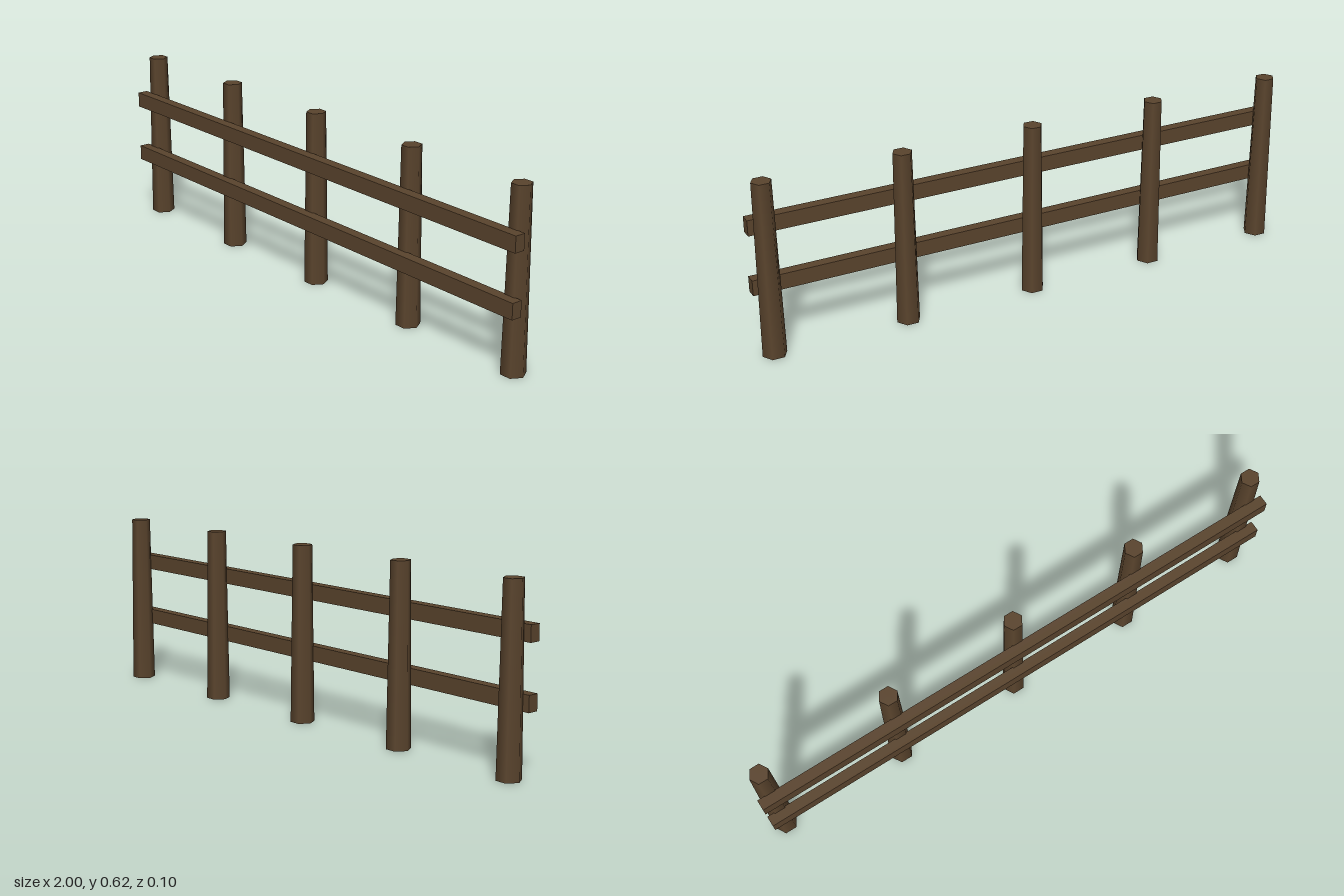
import * as THREE from 'three';

export function createModel() {
  const fence = new THREE.Group();
  fence.name = 'fence';
  const wood = new THREE.MeshStandardMaterial({ color: 0x5a442d });
  wood.name = 'dark brown wood';

  // Five tapered six-sided posts, corners pointing along the fence
  const postHeight = 0.62;
  const postGeometry = new THREE.CylinderGeometry(0.034, 0.042, postHeight, 6, 1, false, Math.PI / 6);
  for (let i = -2; i <= 2; i++) {
    const post = new THREE.Mesh(postGeometry, wood);
    post.name = `post${i + 3}`;
    post.position.set(i * 0.4765, postHeight / 2, -0.0145);
    fence.add(post);
  }

  // Two long rails fixed to the front of the posts
  const railGeometry = new THREE.BoxGeometry(2, 0.055, 0.038);
  for (const [name, y] of [['lowerRail', 0.239], ['upperRail', 0.453]]) {
    const rail = new THREE.Mesh(railGeometry, wood);
    rail.name = name;
    rail.position.set(0, y, 0.033);
    fence.add(rail);
  }
  return fence;
}
